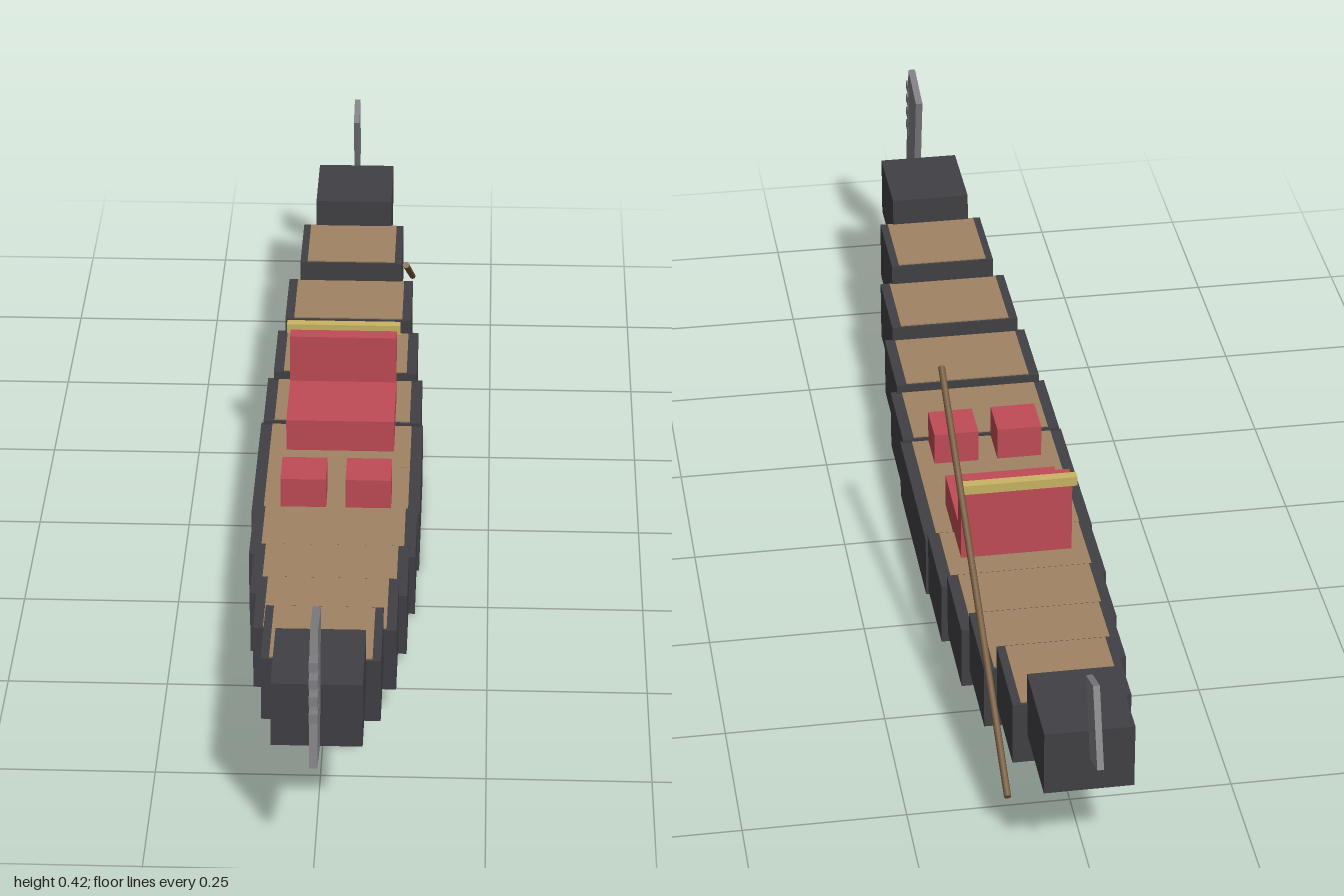
import * as THREE from 'three';

const mat = (name, color) => {
  const m = new THREE.MeshStandardMaterial({ color });
  m.name = name;
  return m;
};

export function createModel() {
  const hull = mat('dark hull', 0x414145);
  const wood = mat('deck wood', 0xa08363);
  const red = mat('red upholstery', 0xc04c56);
  const gold = mat('gold trim', 0xc9b463);
  const metal = mat('grey metal', 0x808084);
  const oarWood = mat('oar wood', 0x75593c);

  const boat = new THREE.Group();
  boat.name = 'boat';

  const box = (name, material, size, pos, tilt = 0) => {
    const mesh = new THREE.Mesh(new THREE.BoxGeometry(...size), material);
    mesh.name = name;
    mesh.position.set(...pos);
    mesh.rotation.x = tilt;
    boat.add(mesh);
    return mesh;
  };

  // Hull: stepped blocks, rising and narrowing from the middle to both ends
  const midZ = -0.015, step = 0.1485, length = 0.155, height = 0.106;
  const halfWidths = [0.137, 0.133, 0.123, 0.11, 0.09, 0.0675];
  const bottoms = [0.002, 0.009, 0.025, 0.052, 0.089, 0.139];
  for (const end of [1, -1]) {
    halfWidths.forEach((w, i) => {
      const z = midZ + end * (step / 2 + i * step);
      box('hullBlock', hull, [2 * w, height, length], [0, bottoms[i] + height / 2, z]);
      // Plank deck on all but the end blocks
      if (i < 5) {
        box('deck', wood, [2 * w * 0.86, 0.006, 0.148], [0, bottoms[i] + height - 0.001, z]);
      }
    });
  }

  // Bench with backrest and gold top rail
  box('benchSeat', red, [0.18, 0.058, 0.165], [0, 0.137, -0.1525]);
  box('benchBack', red, [0.18, 0.142, 0.03], [0, 0.179, -0.226]);
  box('benchRail', gold, [0.192, 0.016, 0.016], [0, 0.252, -0.245]);

  // Pair of small stools
  for (const side of [1, -1]) {
    box('stool', red, [0.074, 0.058, 0.074], [side * 0.053, 0.137, 0.093]);
  }

  // Bow blade with a comb of teeth on its front edge
  box('bowBlade', metal, [0.012, 0.212, 0.098], [0, 0.272, 0.93], -0.213);
  for (let i = 0; i < 4; i++) {
    box('bowTooth', metal, [0.013, 0.015, 0.035], [0, 0.34 - i * 0.0275, 0.97 + i * 0.002], -0.05);
  }

  // Stern blade
  box('sternBlade', metal, [0.01, 0.126, 0.062], [0, 0.287, -0.947], 0.35);

  // Long slanted oar on the left side
  const top = new THREE.Vector3(0.106, 0.42, -0.147);
  const low = new THREE.Vector3(0.106, 0.067, -0.815);
  const dir = top.clone().sub(low);
  const oar = new THREE.Mesh(new THREE.CylinderGeometry(0.0055, 0.0055, dir.length(), 8), oarWood);
  oar.name = 'oar';
  oar.position.copy(low).add(top).multiplyScalar(0.5);
  oar.quaternion.setFromUnitVectors(new THREE.Vector3(0, 1, 0), dir.normalize());
  boat.add(oar);

  return boat;
}
